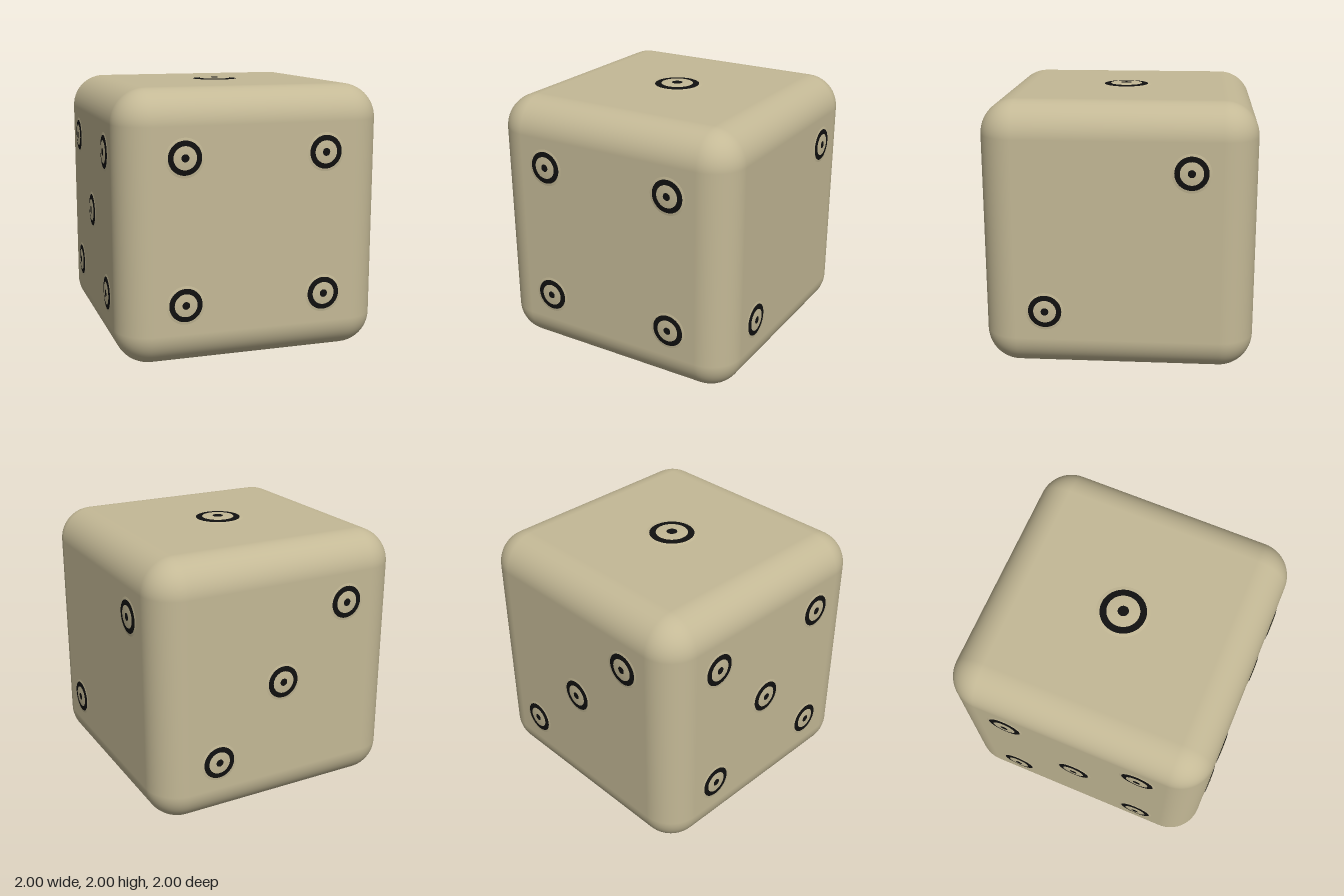
import * as THREE from 'three';
import { RoundedBoxGeometry } from 'three/addons/geometries/RoundedBoxGeometry.js';

const HALF = 0.986; // half the width of the cube
const S = 0.52;     // pip spacing from the face centre

const bone = new THREE.MeshStandardMaterial({ color: 0xc4b996 });
bone.name = 'bone';
const ink = new THREE.MeshStandardMaterial({ color: 0x101010 });
ink.name = 'ink';

// One band of a shallow dome of radius R and height H, between radii r0 and r1
function domeBand(R, H, r0, r1) {
  const points = [];
  const steps = 4;
  for (let i = 0; i <= steps; i++) {
    const r = r1 + (r0 - r1) * (i / steps);
    points.push(new THREE.Vector2(r, H * (1 - (r / R) ** 2)));
  }
  return new THREE.LatheGeometry(points, 40);
}

// Bands of a pip, from the centre dot out to the rim
function pipParts(R, H, radii) {
  const [dot, inner, outer] = radii;
  return [
    ['pipDot', domeBand(R, H, 0, dot), ink],
    ['pipIris', domeBand(R, H, dot, inner), bone],
    ['pipRing', domeBand(R, H, inner, outer), ink],
    ['pipRim', domeBand(R, H, outer, R), bone],
  ];
}

export function createModel() {
  const model = new THREE.Group();
  model.name = 'die';
  const cube = new THREE.Group();
  cube.name = 'cube';
  cube.position.y = 1.001;
  model.add(cube);

  // Rounded body
  const body = new THREE.Mesh(new RoundedBoxGeometry(HALF * 2, HALF * 2, HALF * 2, 8, 0.25), bone);
  body.name = 'body';
  cube.add(body);

  const smallPip = pipParts(0.14, 0.012, [0.028, 0.083, 0.121]);
  const largePip = pipParts(0.193, 0.013, [0.04, 0.12, 0.168]);

  // Each face: outward normal, two in-plane axes, pip positions on them
  const corners = [[-1, -1], [-1, 1], [1, -1], [1, 1]];
  const faces = [
    { name: 'one', n: [0, 1, 0], u: [1, 0, 0], v: [0, 0, 1], pips: [[0, 0]], parts: largePip },
    { name: 'two', n: [1, 0, 0], u: [0, 0, 1], v: [0, 1, 0], pips: [[-1, 1], [1, -1]] },
    { name: 'three', n: [0, 0, -1], u: [1, 0, 0], v: [0, 1, 0], pips: [[-1, 1], [0, 0], [1, -1]] },
    { name: 'four', n: [0, 0, 1], u: [1, 0, 0], v: [0, 1, 0], pips: corners },
    { name: 'five', n: [-1, 0, 0], u: [0, 0, 1], v: [0, 1, 0], pips: [...corners, [0, 0]] },
    { name: 'six', n: [0, -1, 0], u: [1, 0, 0], v: [0, 0, 1], pips: [...corners, [-1, 0], [1, 0]] },
  ];

  const up = new THREE.Vector3(0, 1, 0);
  for (const face of faces) {
    const group = new THREE.Group();
    group.name = face.name + 'Face';
    const n = new THREE.Vector3(...face.n);
    const u = new THREE.Vector3(...face.u);
    const v = new THREE.Vector3(...face.v);
    for (const [a, b] of face.pips) {
      const pip = new THREE.Group();
      pip.name = 'pip';
      pip.quaternion.setFromUnitVectors(up, n);
      pip.position.addScaledVector(n, HALF).addScaledVector(u, a * S).addScaledVector(v, b * S);
      for (const [name, geometry, material] of face.parts || smallPip) {
        const mesh = new THREE.Mesh(geometry, material);
        mesh.name = name;
        pip.add(mesh);
      }
      group.add(pip);
    }
    cube.add(group);
  }
  return model;
}
